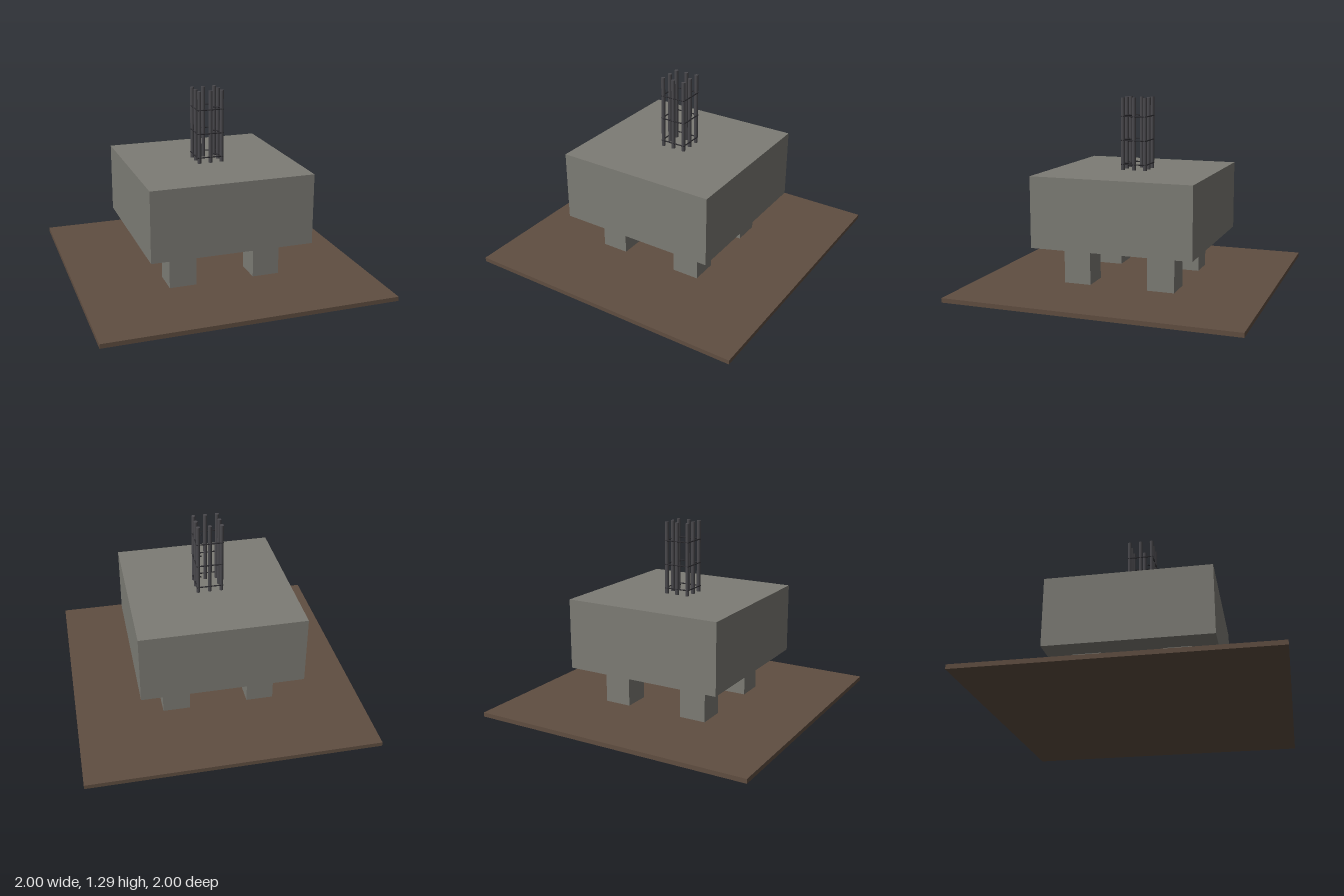
import * as THREE from 'three';

const material = (name, color) => {
  const m = new THREE.MeshStandardMaterial({ color });
  m.name = name;
  return m;
};

export function createModel() {
  const model = new THREE.Group();
  model.name = 'pileCapFoundation';
  const soil = material('brown soil', 0x604e41);
  const concrete = material('grey concrete', 0x7d7c75);
  const steel = material('dark steel', 0x4a494d);
  const tieSteel = material('black tie steel', 0x2c2b2f);

  const add = (name, geometry, mat, x, y, z, parent = model) => {
    const mesh = new THREE.Mesh(geometry, mat);
    mesh.name = name;
    mesh.position.set(x, y, z);
    parent.add(mesh);
    return mesh;
  };

  // Round rod between two points
  const rod = (name, a, b, radius, parent) => {
    const dir = b.clone().sub(a);
    const mid = a.clone().add(b).multiplyScalar(0.5);
    const mesh = add(name, new THREE.CylinderGeometry(radius, radius, dir.length(), 8), tieSteel, mid.x, mid.y, mid.z, parent);
    mesh.quaternion.setFromUnitVectors(new THREE.Vector3(0, 1, 0), dir.normalize());
  };

  // Ground slab, four piles and the cap resting on them
  add('ground', new THREE.BoxGeometry(2, 0.03, 2), soil, 0, 0.015, 0);
  const pileGeometry = new THREE.BoxGeometry(0.19, 0.27, 0.19);
  for (const x of [-0.3, 0.3])
    for (const z of [-0.3, 0.3]) add('pile', pileGeometry, concrete, x, 0.165, z);
  add('pileCap', new THREE.BoxGeometry(1.13, 0.49, 1.13), concrete, 0, 0.545, 0);

  // Eight vertical starter bars around a square
  const barGeometry = new THREE.CylinderGeometry(0.0135, 0.0135, 0.525, 12);
  for (const x of [-1, 0, 1])
    for (const z of [-1, 0, 1])
      if (x || z) add('starterBar', barGeometry, steel, x * 0.081, 1.0325, z * 0.081);

  // Square ties with an inward hook at the front left corner
  const s = 0.09;
  const corners = [[-s, -s], [s, -s], [s, s], [-s, s]];
  for (const y of [0.83, 0.998, 1.165]) {
    const tie = new THREE.Group();
    tie.name = 'tie';
    tie.position.y = y;
    model.add(tie);
    corners.forEach(([x, z], i) => {
      const [nx, nz] = corners[(i + 1) % 4];
      rod('tieSide', new THREE.Vector3(x, 0, z), new THREE.Vector3(nx, 0, nz), 0.0045, tie);
    });
    rod('tieHook', new THREE.Vector3(0.085, 0.006, 0.073), new THREE.Vector3(0.038, 0.006, 0.03), 0.0045, tie);
  }
  return model;
}
